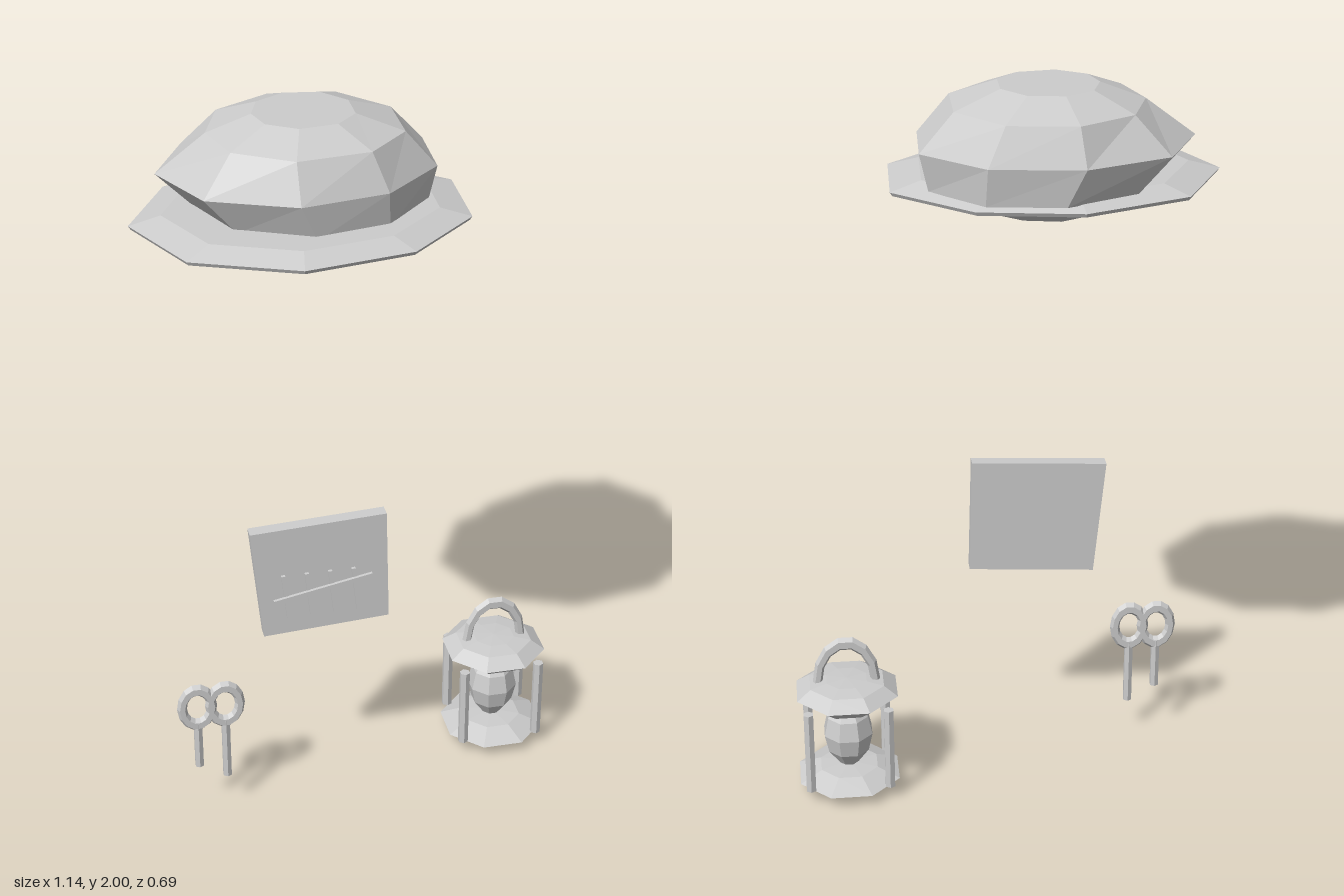
import * as THREE from 'three';

const stone = new THREE.MeshStandardMaterial({ color: 0xcccccc, flatShading: true });
stone.name = 'plain grey';

function add(parent, name, geometry, x = 0, y = 0, z = 0) {
  const mesh = new THREE.Mesh(geometry, stone);
  mesh.name = name;
  mesh.position.set(x, y, z);
  parent.add(mesh);
  return mesh;
}

// Closed solid through rings listed from bottom to top; points run clockwise from above
function loft(rings) {
  const pos = [];
  const n = rings[0].points.length;
  const at = (r, i) => [r.points[i % n][0], r.y, r.points[i % n][1]];
  const centre = (r) => {
    const c = [0, r.y, 0];
    r.points.forEach((p) => { c[0] += p[0] / n; c[2] += p[1] / n; });
    return c;
  };
  const bottom = rings[0], top = rings[rings.length - 1];
  for (let i = 0; i < n; i++) {
    for (let k = 0; k < rings.length - 1; k++) {
      const a = at(rings[k], i), b = at(rings[k], i + 1);
      const c = at(rings[k + 1], i + 1), d = at(rings[k + 1], i);
      pos.push(...b, ...a, ...d, ...b, ...d, ...c);
    }
    pos.push(...centre(top), ...at(top, i + 1), ...at(top, i));
    pos.push(...centre(bottom), ...at(bottom, i), ...at(bottom, i + 1));
  }
  const g = new THREE.BufferGeometry();
  g.setAttribute('position', new THREE.Float32BufferAttribute(pos, 3));
  g.computeVertexNormals();
  return g;
}

// Shrinks an outline toward a point
const shrink = (points, sx, sz, cx, cz) =>
  points.map(([x, z]) => [cx + (x - cx) * sx, cz + (z - cz) * sz]);

// Eight-sided turned part with flats facing the axes
function turned(profile) {
  const g = new THREE.LatheGeometry(profile.map(([r, y]) => new THREE.Vector2(r, y)), 8);
  return g.rotateY(Math.PI / 8);
}

function ovalRing(rx, ry, tube) {
  const g = new THREE.TorusGeometry(rx, tube, 6, 14);
  return g.scale(1, ry / rx, 1);
}

function makeHat() {
  const hat = new THREE.Group();
  hat.name = 'hat';
  const brim = [[-0.573, -0.008], [-0.454, -0.24], [-0.179, -0.347], [0.087, -0.304], [0.283, -0.127],
    [0.274, 0.115], [0.087, 0.292], [-0.197, 0.344], [-0.463, 0.234]];
  const belly = [[-0.494, -0.066], [-0.4, -0.258], [-0.179, -0.343], [0.057, -0.313], [0.212, -0.167],
    [0.203, 0.032], [0.047, 0.18], [-0.18, 0.222], [-0.402, 0.13]];
  const shoulder = [[-0.365, -0.066], [-0.313, -0.218], [-0.167, -0.304], [0.011, -0.28], [0.124, -0.145],
    [0.121, 0.029], [0.011, 0.145], [-0.18, 0.17], [-0.325, 0.078]];
  // Brim with the shallow bowl beneath it
  add(hat, 'hatBrim', loft([
    { y: 1.675, points: shrink(brim, 0.35, 0.44, -0.122, -0.03) },
    { y: 1.718, points: shrink(brim, 0.64, 0.7, -0.05, -0.02) },
    { y: 1.742, points: shrink(brim, 0.985, 0.985, -0.14, 0) },
    { y: 1.752, points: brim },
    { y: 1.774, points: shrink(brim, 0.81, 0.81, -0.14, 0) },
  ]));
  // Faceted crown
  add(hat, 'hatCrown', loft([
    { y: 1.762, points: shrink(belly, 0.83, 0.93, 0.08, -0.09) },
    { y: 1.86, points: belly },
    { y: 1.957, points: shoulder },
    { y: 2.0, points: shrink(shoulder, 0.52, 0.54, -0.125, -0.05) },
  ]));
  return hat;
}

function makeBoard() {
  const board = new THREE.Group();
  board.name = 'tallyBoard';
  // Crooked panel
  const shape = new THREE.Shape([[-0.31, 0.887], [-0.278, 0.558], [0.071, 0.58], [0.063, 0.907]]
    .map(([x, y]) => new THREE.Vector2(x, y)));
  add(board, 'boardPanel', new THREE.ExtrudeGeometry(shape, { depth: 0.037, bevelEnabled: false }), 0, 0, 0.071);
  // Tally strokes floating just in front
  const stroke = (name, x0, y0, x1, y1, z) => {
    const g = new THREE.BoxGeometry(0.011, Math.hypot(x1 - x0, y1 - y0), 0.009);
    add(board, name, g, (x0 + x1) / 2, (y0 + y1) / 2, z).rotation.z = Math.atan2(x0 - x1, y1 - y0);
  };
  for (let i = 0; i < 4; i++) {
    const x = -0.23 + i * 0.064;
    stroke('tallyStroke', x + 0.014, 0.643, x, 0.776, 0.152);
  }
  stroke('tallySlash', -0.257, 0.7, 0.013, 0.754, 0.16);
  return board;
}

function makeKey(x, bottom) {
  const key = new THREE.Group();
  key.name = 'key';
  add(key, 'keyBow', ovalRing(0.042, 0.058, 0.014), x, 0.35, 0.108);
  const length = 0.3 - bottom;
  add(key, 'keyShaft', new THREE.CylinderGeometry(0.013, 0.013, length, 6), x, bottom + length / 2, 0.108);
  return key;
}

function makeLantern() {
  const lantern = new THREE.Group();
  lantern.name = 'lantern';
  lantern.position.set(0.43, 0, -0.075);
  add(lantern, 'lanternBase', turned([[0, 0], [0.06, 0.003], [0.105, 0.012], [0.15, 0.036], [0.085, 0.062], [0, 0.068]]));
  add(lantern, 'lanternCap', turned([[0, 0.252], [0.09, 0.258], [0.15, 0.303], [0.11, 0.33], [0.06, 0.336], [0, 0.338]]));
  add(lantern, 'lanternFlame', turned([[0, 0.066], [0.028, 0.07], [0.06, 0.115], [0.072, 0.168], [0.06, 0.222], [0.03, 0.262], [0, 0.268]]));
  // Carrying ring passes down through the cap
  add(lantern, 'lanternHandle', ovalRing(0.08, 0.118, 0.0135), 0, 0.331, 0);
  // Corner posts
  for (const sx of [-1, 1]) {
    for (const sz of [-1, 1]) {
      add(lantern, 'lanternPost', new THREE.CylinderGeometry(0.015, 0.015, 0.245, 6), sx * 0.11, 0.162, sz * 0.095);
    }
  }
  return lantern;
}

export function createModel() {
  const model = new THREE.Group();
  model.name = 'hatAndCampItems';
  model.add(makeHat(), makeBoard(), makeKey(-0.471, 0.15), makeKey(-0.393, 0.105), makeLantern());
  return model;
}
